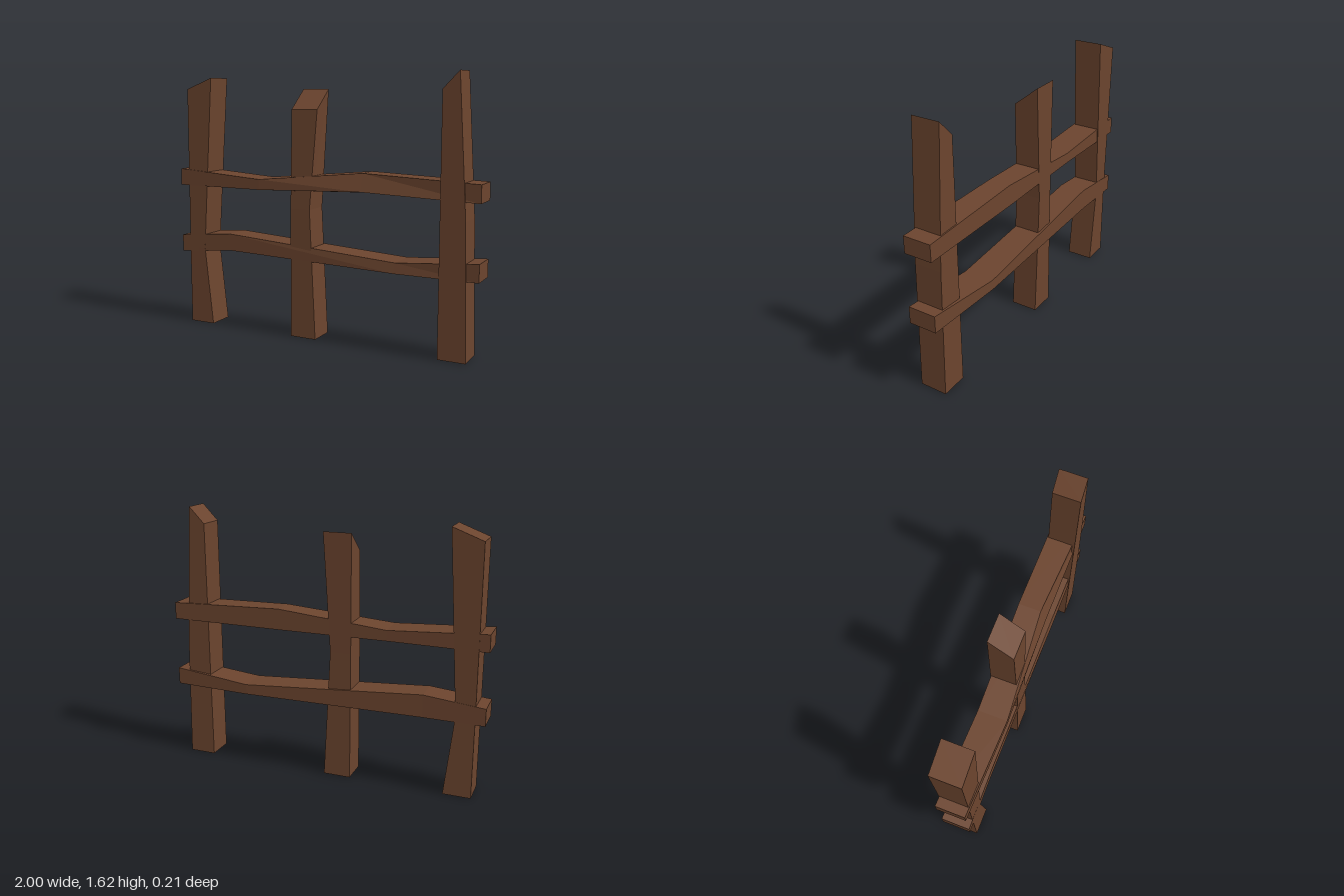
import * as THREE from 'three';

const wood = new THREE.MeshStandardMaterial({ color: 0x6b442e, flatShading: true, roughness: 0.9 });

// Skin four-cornered rings into a closed, hand-hewn beam.
// Rings run counter-clockwise when seen from the far end of the beam.
function beam(name, rings) {
  const pos = [];
  const quad = (a, b, c, d) => pos.push(...a, ...b, ...c, ...a, ...c, ...d);
  for (let i = 0; i < rings.length - 1; i++) {
    for (let j = 0; j < 4; j++) {
      const k = (j + 1) % 4;
      quad(rings[i][j], rings[i][k], rings[i + 1][k], rings[i + 1][j]);
    }
  }
  const first = rings[0];
  quad(first[3], first[2], first[1], first[0]);
  quad(...rings[rings.length - 1]);
  const geometry = new THREE.BufferGeometry();
  geometry.setAttribute('position', new THREE.Float32BufferAttribute(pos, 3));
  geometry.computeVertexNormals();
  const mesh = new THREE.Mesh(geometry, wood);
  mesh.name = name;
  return mesh;
}

// Post level: left x, right x, front z, back z, then the heights of the
// front-left, front-right, back-right and back-left corners.
const postRing = ([l, r, f, b, fl, fr = fl, br = fl, bl = fl]) =>
  [[l, fl, f], [r, fr, f], [r, br, b], [l, bl, b]];

// Rail station: x, bottom-front y, bottom-back y, top y,
// bottom-front z, top-front z, back z.
const railRing = ([x, bf, bb, t, zf, ztf, zb]) =>
  [[x, bf, zf], [x, bb, zb], [x, t, zb], [x, t, ztf]];

export function createModel() {
  const group = new THREE.Group();
  group.name = 'fence';

  // Posts, each with a waist and a slanted cut on top
  const posts = {
    leftEndPost: [
      [-0.94, -0.77, 0.09, -0.08, 0],
      [-0.94, -0.825, 0.09, -0.08, 0.5],
      [-0.94, -0.757, 0.085, -0.095, 1.52, 1.59, 1.59, 1.52],
    ],
    middlePost: [
      [-0.185, -0.015, 0.09, -0.08, 0],
      [-0.185, -0.055, 0.085, -0.08, 0.8],
      [-0.185, -0.012, 0.065, -0.085, 1.4, 1.4, 1.52, 1.52],
    ],
    rightEndPost: [
      [0.77, 0.937, 0.095, -0.075, 0],
      [0.77, 0.918, 0.095, -0.075, 0.8],
      [0.77, 0.867, 0.095, -0.075, 1.52, 1.62, 1.62, 1.52],
    ],
  };
  for (const [name, levels] of Object.entries(posts)) {
    group.add(beam(name, levels.map(postRing)));
  }

  // Rails, bent and chipped along their length
  const rails = {
    upperRail: [
      [-1, 0.905, 0.905, 1.01, 0.092, 0.092, -0.085],
      [-0.4, 0.905, 0.905, 0.97, 0.106, 0.106, -0.075],
      [0.28, 0.928, 0.905, 1.035, 0.09, 0.055, -0.085],
      [1, 0.905, 0.905, 1.01, 0.09, 0.09, -0.083],
    ],
    lowerRail: [
      [-1, 0.467, 0.467, 0.573, 0.091, 0.091, -0.085],
      [-0.63, 0.5, 0.467, 0.607, 0.088, 0.088, -0.08],
      [0.5, 0.467, 0.467, 0.53, 0.09, 0.08, -0.108],
      [1, 0.467, 0.467, 0.573, 0.09, 0.09, -0.083],
    ],
  };
  for (const [name, stations] of Object.entries(rails)) {
    group.add(beam(name, stations.map(railRing)));
  }
  return group;
}
